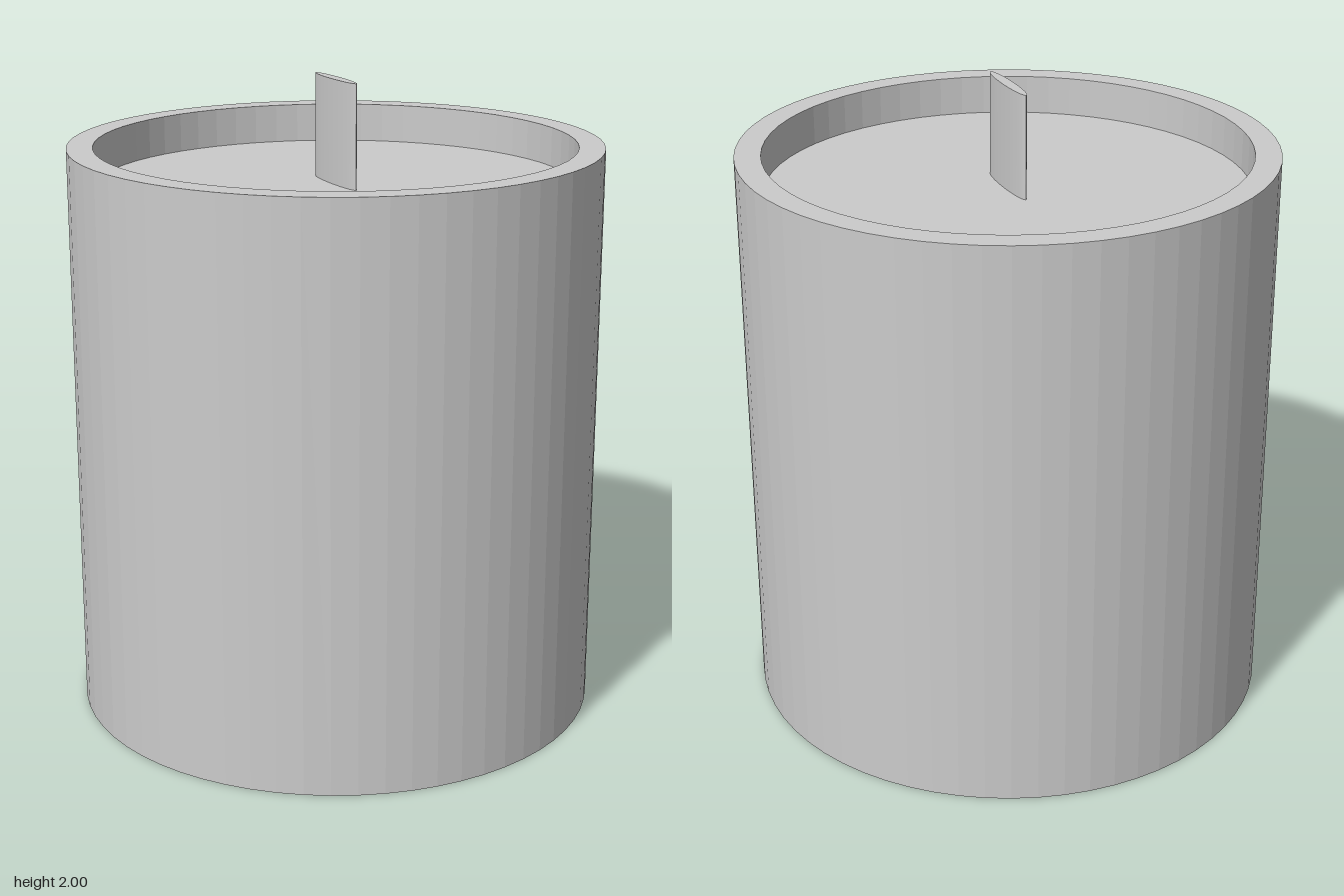
import * as THREE from 'three';

const SIDES = 64;
const OUTER = 0.828, INNER = 0.747;      // jar radii
const RIM_Y = 1.8, FILL_Y = 1.675, TOP_Y = 2;

export function createModel() {
  const model = new THREE.Group();
  const material = new THREE.MeshStandardMaterial({ color: 0xcccccc, flatShading: true });

  const add = (name, geometry) => {
    const mesh = new THREE.Mesh(geometry, material);
    mesh.name = name;
    model.add(mesh);
    return mesh;
  };

  // Jar: base, outer wall, flat rim and the inner wall down to the filling
  const profile = [[0, 0], [OUTER, 0], [OUTER, RIM_Y], [INNER, RIM_Y], [INNER, FILL_Y]];
  add('jar', new THREE.LatheGeometry(profile.map(([x, y]) => new THREE.Vector2(x, y)), SIDES));

  // Flat recessed surface inside the rim
  const filling = add('filling', new THREE.CircleGeometry(INNER, SIDES));
  filling.rotation.x = -Math.PI / 2;
  filling.position.y = FILL_Y;

  // Thin upright wick with an elliptical section, wide along z
  const height = TOP_Y - FILL_Y;
  const wickGeometry = new THREE.CylinderGeometry(1, 1, height, SIDES);
  wickGeometry.scale(0.018, 1, 0.135);
  add('wick', wickGeometry).position.y = FILL_Y + height / 2;

  return model;
}
